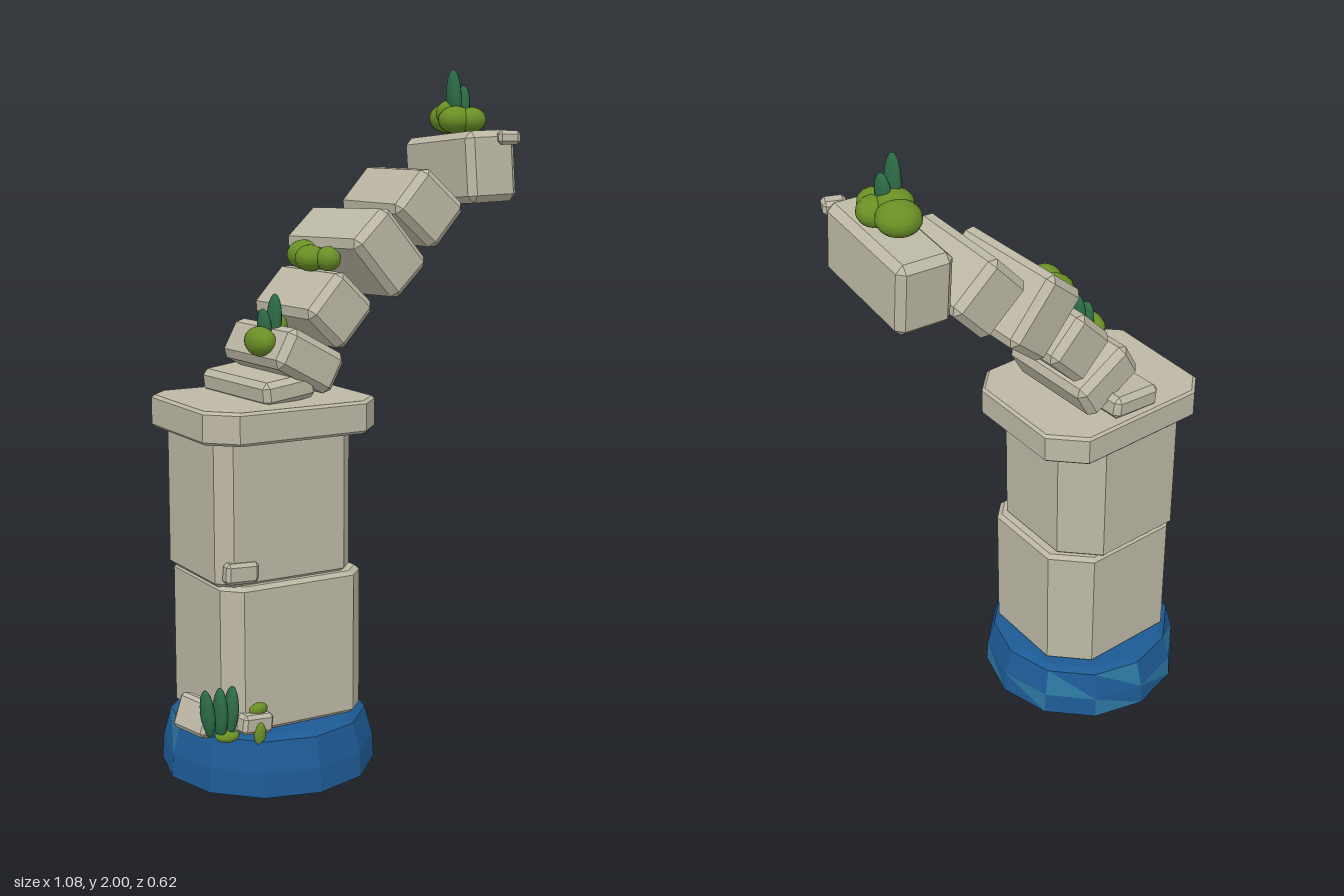
import * as THREE from 'three';
import { ConvexGeometry } from 'three/addons/geometries/ConvexGeometry.js';

const material = (name, color) => {
  const m = new THREE.MeshStandardMaterial({ color, flatShading: name.includes('blue') });
  m.name = name;
  return m;
};

// Box with every edge and corner cut off
function chamferBox(w, h, d, c) {
  const pts = [];
  for (const x of [-1, 1]) for (const y of [-1, 1]) for (const z of [-1, 1]) {
    for (let axis = 0; axis < 3; axis++) {
      const s = [w / 2, h / 2, d / 2].map((v, i) => (i === axis ? v : v - c));
      pts.push(new THREE.Vector3(x * s[0], y * s[1], z * s[2]));
    }
  }
  return new ConvexGeometry(pts);
}

// Upright block with cut corners; cuts are for (+x+z), (-x+z), (-x-z), (+x-z)
function pillar([x0, x1], [y0, y1], [z0, z1], cuts, bevel) {
  const [a, b, c, d] = cuts;
  const outline = [
    [x1, z1 - a], [x1 - a, z1], [x0 + b, z1], [x0, z1 - b],
    [x0, z0 + c], [x0 + c, z0], [x1 - d, z0], [x1, z0 + d]];
  const cx = (x0 + x1) / 2, cz = (z0 + z1) / 2;
  const pts = [];
  for (const [y, inset] of [[y0, bevel], [y0 + bevel, 0], [y1 - bevel, 0], [y1, bevel]]) {
    const k = 1 - inset / ((x1 - x0) / 2);
    for (const [x, z] of outline) pts.push(new THREE.Vector3(cx + (x - cx) * k, y, cz + (z - cz) * k));
  }
  return new ConvexGeometry(pts);
}

export function createModel() {
  const group = new THREE.Group();
  const stone = material('pale stone', 0xbdb8a5);
  const blue = material('deep blue rock', 0x1d5a94);
  const lightBlue = material('light blue rock', 0x2c759f);
  const moss = material('moss green', 0x6a8f25);
  const leaf = material('dark leaf green', 0x2c6a45);

  const add = (name, geo, mat, pos = [0, 0, 0], rot = [0, 0, 0], parent = group) => {
    const mesh = new THREE.Mesh(geo, mat);
    mesh.name = name;
    mesh.position.set(...pos);
    mesh.rotation.set(...rot);
    parent.add(mesh);
    return mesh;
  };

  // Faceted blue foot, with a few lighter facets
  const profile = [[0, 0], [0.312, 0], [0.308, 0.07], [0.285, 0.155], [0.265, 0.168], [0, 0.168]];
  const foot = new THREE.LatheGeometry(profile.map(p => new THREE.Vector2(...p)), 12).toNonIndexed();
  const tris = foot.attributes.position.count / 3;
  const p = foot.attributes.position;
  for (let i = 0; i < tris; i++) {
    const midY = (p.getY(i * 3) + p.getY(i * 3 + 1) + p.getY(i * 3 + 2)) / 3;
    const light = midY > 0.02 && midY < 0.15 && (i * 7) % 11 < 2;
    foot.addGroup(i * 3, 3, light ? 1 : 0);
  }
  add('foot', foot, [blue, lightBlue], [-0.212, 0, 0]);

  // Column and slab
  add('lowerBlock', pillar([-0.44, 0.01], [0.165, 0.59], [-0.205, 0.2], [0.05, 0.05, 0.06, 0.1], 0.012), stone);
  add('upperBlock', pillar([-0.45, -0.02], [0.585, 1.0], [-0.21, 0.18], [0.04, 0.04, 0.06, 0.1], 0.012), stone);
  add('slab', pillar([-0.486, 0.056], [0.99, 1.083], [-0.235, 0.225], [0.07, 0.075, 0.055, 0.09], 0.008), stone);

  // Curving arm of stones: position, size, rotation
  const arm = [
    [[-0.215, 1.115, -0.04], [0.17, 0.07, 0.36], [0, 0.06, 0.12]],
    [[-0.148, 1.192, -0.015], [0.205, 0.125, 0.33], [0, 0.04, -0.5]],
    [[-0.055, 1.33, -0.005], [0.165, 0.17, 0.32], [0, 0.05, -0.75]],
    [[0.075, 1.483, 0.015], [0.225, 0.16, 0.37], [-0.03, 0.07, -0.84]],
    [[0.242, 1.607, 0], [0.185, 0.165, 0.34], [0, -0.03, -0.72]],
    [[0.442, 1.712, 0.01], [0.163, 0.205, 0.375], [-0.07, -0.055, 0.03]],
  ];
  arm.forEach(([pos, size, rot], i) =>
    add(`armStone${i + 1}`, chamferBox(...size, i ? 0.02 : 0.016), stone, pos, rot));

  // Loose pebbles
  const pebbles = [
    [[0.477, 1.805, 0.2], [0.065, 0.04, 0.05], [0, -0.4, 0]],
    [[-0.388, 0.628, 0.175], [0.1, 0.06, 0.04], [0, 0, -0.05]],
    [[-0.363, 0.2, 0.205], [0.1, 0.055, 0.05], [0, 0.1, -0.1]],
    [[-0.495, 0.215, 0.105], [0.05, 0.1, 0.12], [0.1, 0.35, -0.35]],
  ];
  pebbles.forEach(([pos, size, rot], i) => add(`pebble${i + 1}`, chamferBox(...size, 0.01), stone, pos, rot));

  // Plants: each blob is position, radii and optional lean
  const ball = new THREE.SphereGeometry(1, 16, 12);
  const plant = (name, mossBlobs, leaves) => {
    const g = new THREE.Group();
    g.name = name;
    group.add(g);
    for (const [kind, mat, list] of [['moss', moss, mossBlobs], ['leaf', leaf, leaves]]) {
      list.forEach(([pos, radii, lean = 0]) => add(kind, ball, mat, pos, [0, 0, lean], g).scale.set(...radii));
    }
  };
  plant('topBush', [
    [[0.44, 1.86, -0.045], [0.06, 0.045, 0.062]],
    [[0.4, 1.855, 0.045], [0.05, 0.04, 0.055]],
    [[0.46, 1.855, 0.03], [0.05, 0.04, 0.05]],
    [[0.435, 1.855, 0.075], [0.045, 0.036, 0.042]],
    [[0.42, 1.875, 0], [0.05, 0.04, 0.05]],
  ], [
    [[0.407, 1.92, 0.025], [0.018, 0.08, 0.03], 0.05],
    [[0.437, 1.895, 0.025], [0.018, 0.06, 0.03], -0.05],
  ]);
  plant('middleBush', [
    [[-0.06, 1.475, -0.045], [0.048, 0.042, 0.055]],
    [[-0.08, 1.47, 0.025], [0.042, 0.038, 0.05]],
    [[-0.05, 1.47, 0.075], [0.035, 0.035, 0.04]],
  ], []);
  plant('lowerBush', [
    [[-0.25, 1.245, 0.04], [0.04, 0.042, 0.062]],
    [[-0.165, 1.28, -0.02], [0.028, 0.035, 0.042]],
  ], [
    [[-0.228, 1.28, 0.025], [0.017, 0.055, 0.03], 0.1],
    [[-0.197, 1.3, 0.025], [0.018, 0.075, 0.032], -0.05],
  ]);
  plant('footPlant', [
    [[-0.44, 0.17, 0.185], [0.035, 0.018, 0.03]],
    [[-0.36, 0.172, 0.228], [0.018, 0.035, 0.015]],
    [[-0.35, 0.235, 0.195], [0.03, 0.02, 0.02]],
  ], [
    [[-0.49, 0.235, 0.165], [0.018, 0.07, 0.03], 0.1],
    [[-0.458, 0.235, 0.18], [0.018, 0.075, 0.03], 0],
    [[-0.427, 0.24, 0.185], [0.018, 0.07, 0.03], -0.08],
  ]);
  return group;
}
